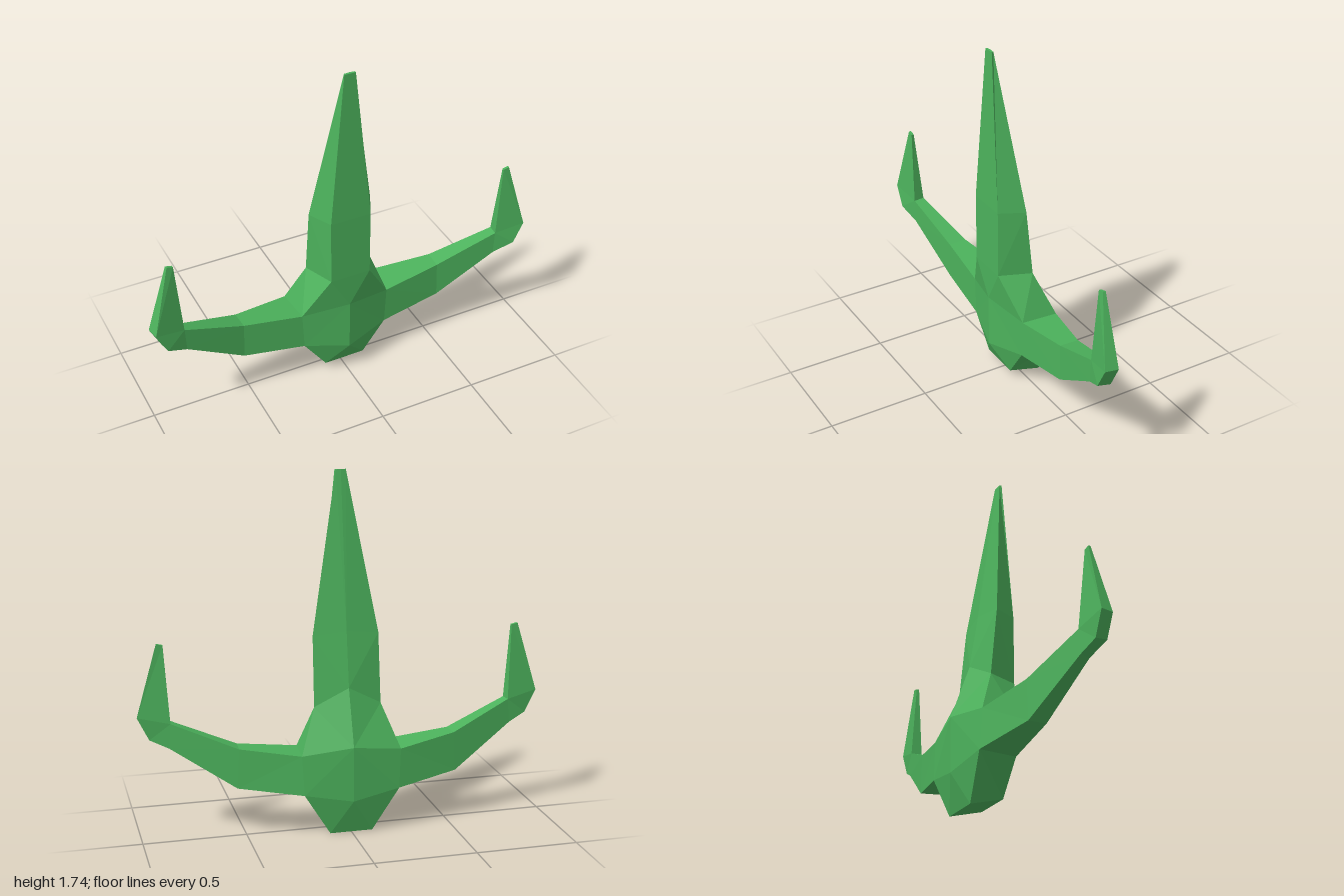
import * as THREE from 'three';

const material = new THREE.MeshStandardMaterial({ color: 0x4cb25c, flatShading: true });

// Skins a row of cross-sections; each quad is split along its shorter diagonal.
function loft(rings, { closed = false, capStart = false, capEnd = false }) {
  const tris = [];
  const v = rings.map(r => r.map(p => new THREE.Vector3(...p)));
  const n = v[0].length;
  const add = (a, b, c) => {
    const area = b.clone().sub(a).cross(c.clone().sub(a)).length();
    if (area > 1e-7) tris.push([a, b, c]);
  };
  for (let i = 0; i + 1 < v.length; i++) {
    for (let j = 0; j < (closed ? n : n - 1); j++) {
      const k = (j + 1) % n;
      const a = v[i][j], b = v[i][k], c = v[i + 1][k], d = v[i + 1][j];
      if (a.distanceTo(c) <= b.distanceTo(d)) { add(a, b, c); add(a, c, d); }
      else { add(a, b, d); add(b, c, d); }
    }
  }
  const first = v[0], last = v[v.length - 1];
  for (let j = 1; j + 1 < n; j++) {
    if (capStart) add(first[0], first[j + 1], first[j]);
    if (capEnd) add(last[0], last[j], last[j + 1]);
  }
  return tris;
}

// Turns triangles into a mesh; side -1 mirrors them across x and keeps them facing out.
function makeMesh(name, tris, sides) {
  const pos = [];
  for (const s of sides) {
    for (const [a, b, c] of tris) {
      for (const p of s > 0 ? [a, b, c] : [a, c, b]) pos.push(p.x * s, p.y, p.z);
    }
  }
  const geo = new THREE.BufferGeometry();
  geo.setAttribute('position', new THREE.Float32BufferAttribute(pos, 3));
  geo.computeVertexNormals();
  const mesh = new THREE.Mesh(geo, material);
  mesh.name = name;
  return mesh;
}

export function createModel() {
  const group = new THREE.Group();
  group.name = 'threeProngedPlant';

  // Trunk, left half: front centre, front side, back side, back centre, going up
  const trunk = [
    [[0, 0.045, 0.075], [0.105, 0.045, 0.075], [0.105, 0, -0.09], [0, 0, -0.09]],
    [[0, 0.17, 0.135], [0.222, 0.21, 0.08], [0.235, 0.21, -0.11], [0, 0.17, -0.138]],
    [[0, 0.44, 0.135], [0.232, 0.405, 0.08], [0.245, 0.405, -0.1], [0, 0.44, -0.138]],
    [[0, 0.62, 0.14], [0.103, 0.62, 0.14], [0.165, 0.62, -0.015], [0, 0.71, -0.042]],
    [[0, 0.96, 0.14], [0.103, 0.96, 0.14], [0.162, 0.96, 0.02], [0, 0.98, 0.002]],
    [[0, 1.735, 0.122], [0.028, 1.735, 0.122], [0.025, 1.735, 0.112], [0, 1.735, 0.11]],
  ];
  group.add(makeMesh('trunk', loft(trunk, { capStart: true, capEnd: true }), [1, -1]));

  // Arm: front top, front bottom, back bottom, back top, from the trunk to the raised tip
  const arm = [
    [[0.232, 0.405, 0.08], [0.222, 0.21, 0.08], [0.235, 0.21, -0.11], [0.245, 0.405, -0.1]],
    [[0.53, 0.445, 0.06], [0.535, 0.255, 0.06], [0.545, 0.25, -0.035], [0.535, 0.445, -0.035]],
    [[0.84, 0.57, 0.1], [0.835, 0.45, 0.1], [0.855, 0.45, 0.045], [0.845, 0.57, 0.045]],
    [[0.84, 0.57, 0.1], [0.935, 0.5, 0.128], [0.945, 0.492, 0.065], [0.845, 0.57, 0.045]],
    [[0.84, 0.57, 0.1], [0.987, 0.605, 0.128], [1, 0.605, 0.065], [0.845, 0.57, 0.045]],
    [[0.865, 0.945, 0.09], [0.895, 0.952, 0.09], [0.898, 0.952, 0.077], [0.867, 0.945, 0.077]],
  ];
  const armTris = loft(arm, { closed: true, capEnd: true });
  group.add(makeMesh('leftArm', armTris, [1]));
  group.add(makeMesh('rightArm', armTris, [-1]));

  return group;
}
